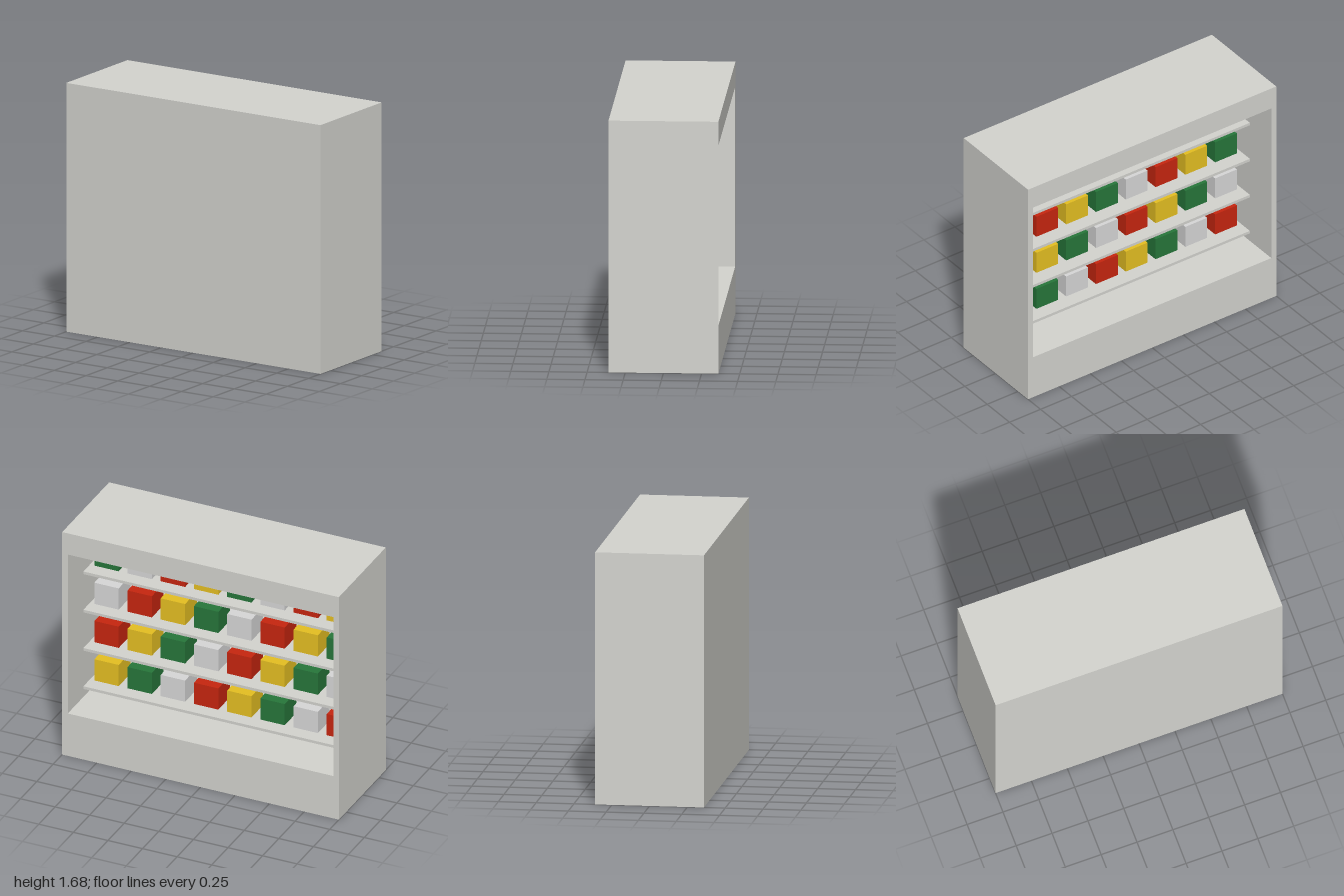
import * as THREE from 'three';

const mat = (name, color) => {
  const m = new THREE.MeshStandardMaterial({ color });
  m.name = name;
  return m;
};

export function createModel() {
  const group = new THREE.Group();
  const cabinetGrey = mat('cabinetGrey', 0xd4d4cf);
  const colours = [
    mat('red', 0xc8260f),
    mat('yellow', 0xe6c022),
    mat('green', 0x27773b),
    mat('white', 0xd8d8d8),
  ];

  const add = (name, geometry, material, x, y, z) => {
    const mesh = new THREE.Mesh(geometry, material);
    mesh.name = name;
    mesh.position.set(x, y, z);
    group.add(mesh);
  };

  // Cabinet shell: rectangular frame, open towards -z
  const outline = new THREE.Shape([[-1, 0], [1, 0], [1, 1.68], [-1, 1.68]]
    .map(([x, y]) => new THREE.Vector2(x, y)));
  outline.holes.push(new THREE.Path([[-0.96, 0.32], [-0.96, 1.52], [0.96, 1.52], [0.96, 0.32]]
    .map(([x, y]) => new THREE.Vector2(x, y))));
  add('cabinetFrame', new THREE.ExtrudeGeometry(outline, { depth: 0.68, bevelEnabled: false }),
    cabinetGrey, 0, 0, -0.36);

  // Closed panel on the +z side
  add('cabinetPanel', new THREE.BoxGeometry(2, 1.68, 0.04), cabinetGrey, 0, 0.84, 0.34);

  // Four shelves, each with a row of eight boxes in a shifting colour cycle
  const shelfGeometry = new THREE.BoxGeometry(1.92, 0.02, 0.44);
  const boxGeometry = new THREE.BoxGeometry(0.176, 0.16, 0.18);
  for (let row = 0; row < 4; row++) {
    const top = 0.4 + row * 0.289;
    add('shelf', shelfGeometry, cabinetGrey, 0, top - 0.01, 0.1);
    for (let i = 0; i < 8; i++) {
      add('goodsBox', boxGeometry, colours[(i + 5 - row) % 4], 0.84 - i * 0.24, top + 0.08, 0.07);
    }
  }
  return group;
}
